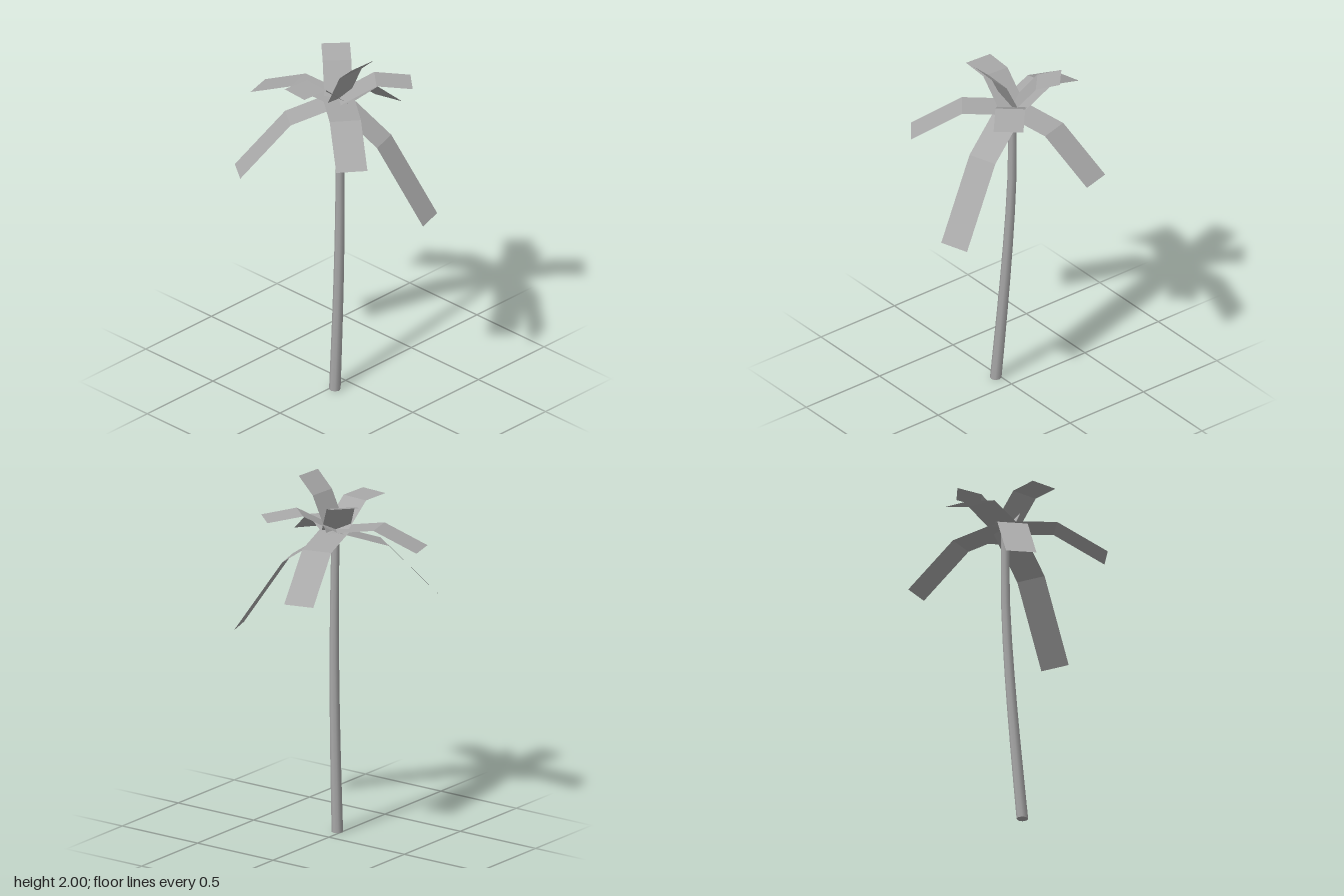
import * as THREE from 'three';

const HUB = new THREE.Vector3(-0.025, 1.72, 0.028);

// Each frond: [fold x, y, z], [tip x, y, z], width
const FRONDS = [
  [[-0.098, 1.68, -0.241], [-0.174, 1.455, -0.504], 0.166],
  [[0.238, 1.53, -0.05], [0.498, 1.12, -0.134], 0.166],
  [[0.185, 1.73, 0.192], [0.398, 1.57, 0.36], 0.168],
  [[-0.036, 1.86, 0.183], [-0.046, 1.862, 0.343], 0.157],
  [[-0.188, 1.625, 0.248], [-0.342, 1.33, 0.474], 0.164],
  [[-0.123, 1.88, -0.06], [-0.218, 1.915, -0.146], 0.153],
  [[-0.265, 1.765, 0.09], [-0.501, 1.665, 0.157], 0.162],
  [[0.104, 1.83, -0.12], [0.232, 1.805, -0.265], 0.159],
  [[0.067, 1.91, 0.031], [0.165, 2.0, 0.038], 0.16],
];

// Folded strip of two flat panels, level across its width
function frondGeometry(fold, tip, width) {
  const spine = [HUB, new THREE.Vector3(...fold), new THREE.Vector3(...tip)];
  const side = new THREE.Vector3(tip[2] - HUB.z, 0, HUB.x - tip[0]).setLength(width / 2);
  const pos = [];
  for (let i = 0; i < 2; i++) {
    const a = spine[i].clone().add(side), b = spine[i].clone().sub(side);
    const c = spine[i + 1].clone().add(side), d = spine[i + 1].clone().sub(side);
    for (const p of [a, d, b, a, c, d]) pos.push(p.x, p.y, p.z);
  }
  const g = new THREE.BufferGeometry();
  g.setAttribute('position', new THREE.Float32BufferAttribute(pos, 3));
  g.computeVertexNormals();
  return g;
}

export function createModel() {
  const group = new THREE.Group();
  const grey = new THREE.MeshStandardMaterial({ color: 0xa8a8a8, side: THREE.DoubleSide });
  grey.name = 'plain grey';

  // Tapered trunk bent along a gentle curve
  const path = new THREE.CatmullRomCurve3([
    new THREE.Vector3(0.023, 0, 0.106),
    new THREE.Vector3(0.008, 0.425, 0.07),
    new THREE.Vector3(-0.007, 0.85, 0.04),
    new THREE.Vector3(-0.02, 1.275, 0.022),
    new THREE.Vector3(-0.026, 1.7, 0.024),
  ]);
  const height = 1.7;
  const trunkGeo = new THREE.CylinderGeometry(0.022, 0.031, height, 8, 8);
  const p = trunkGeo.attributes.position;
  for (let i = 0; i < p.count; i++) {
    const t = THREE.MathUtils.clamp(p.getY(i) / height + 0.5, 0, 1);
    const c = path.getPoint(t);
    p.setXYZ(i, p.getX(i) + c.x, c.y, p.getZ(i) + c.z);
  }
  const trunk = new THREE.Mesh(trunkGeo, grey);
  trunk.name = 'trunk';
  group.add(trunk);

  // Crown of folded fronds
  const crown = new THREE.Group();
  crown.name = 'crown';
  FRONDS.forEach(([fold, tip, width], i) => {
    const frond = new THREE.Mesh(frondGeometry(fold, tip, width), grey);
    frond.name = `frond${i + 1}`;
    crown.add(frond);
  });
  group.add(crown);
  return group;
}
